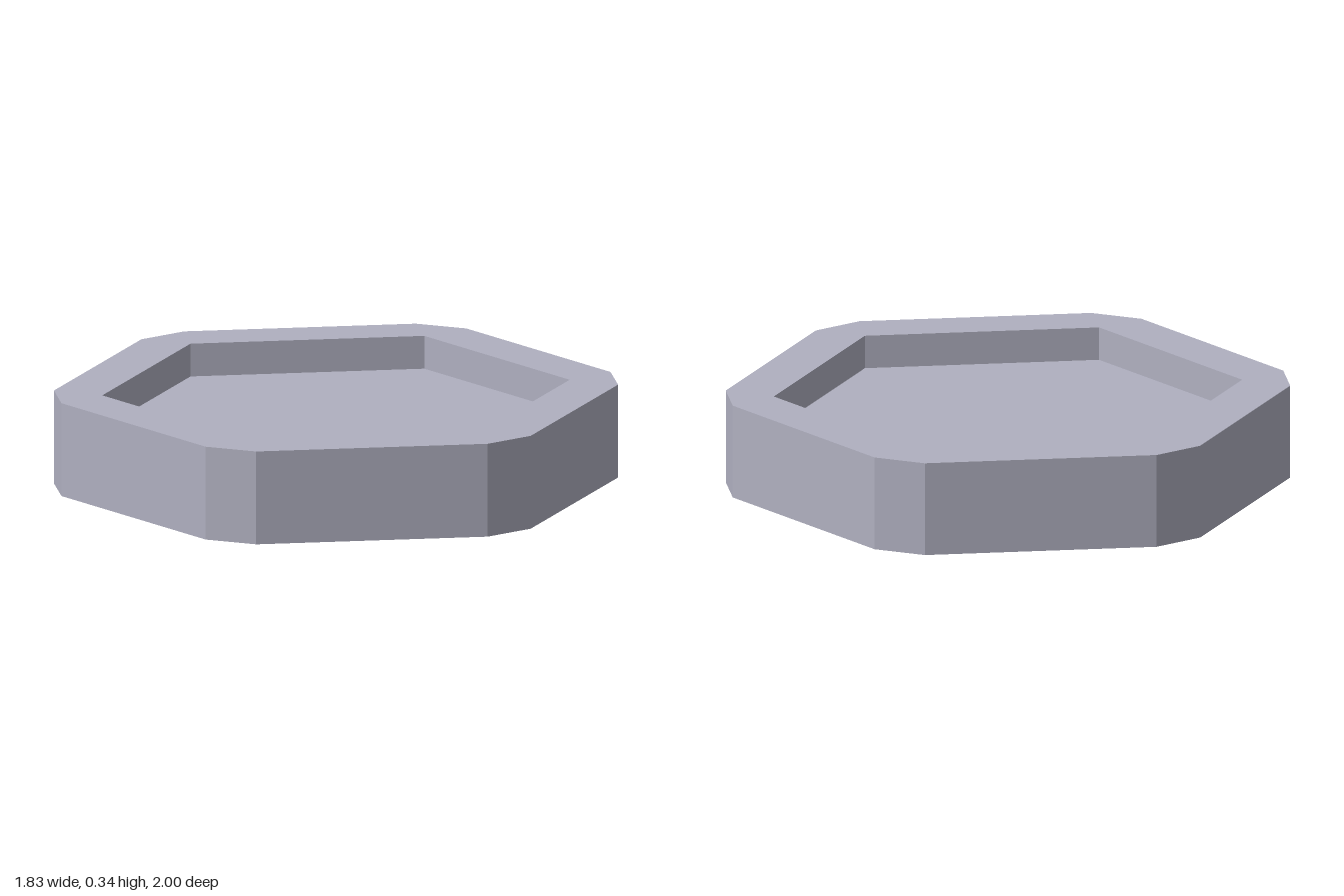
import * as THREE from 'three';

const HEIGHT = 0.34;
const FLOOR_Y = 0.22;

// Six corners, one every 60 degrees, starting on the z axis
function hexPoints(radius) {
  return Array.from({ length: 6 }, (_, i) => {
    const a = (i * Math.PI) / 3;
    return new THREE.Vector2(Math.sin(a) * radius, Math.cos(a) * radius);
  });
}

// Hexagon with each corner cut off: two points per corner
function cutHexPoints(reach, halfCut) {
  const points = [];
  for (let i = 0; i < 6; i++) {
    const a = (i * Math.PI) / 3;
    for (const side of [-halfCut, halfCut]) {
      points.push(new THREE.Vector2(
        Math.sin(a) * reach + Math.cos(a) * side,
        Math.cos(a) * reach - Math.sin(a) * side
      ));
    }
  }
  return points;
}

export function createModel() {
  const model = new THREE.Group();
  model.name = 'hexTray';

  const paleGrey = new THREE.MeshStandardMaterial({ color: 0xb0b0c0, side: THREE.DoubleSide });
  paleGrey.name = 'paleGrey';

  // Thick rim with a hexagonal opening
  const rimShape = new THREE.Shape(cutHexPoints(1, 0.097));
  rimShape.holes.push(new THREE.Path(hexPoints(0.84)));
  const rimGeometry = new THREE.ExtrudeGeometry(rimShape, { depth: HEIGHT, bevelEnabled: false });
  rimGeometry.rotateX(-Math.PI / 2);
  const rim = new THREE.Mesh(rimGeometry, paleGrey);
  rim.name = 'rim';
  model.add(rim);

  // Thin floor plate, hollow above and below
  const floorGeometry = new THREE.ShapeGeometry(new THREE.Shape(hexPoints(0.84)));
  floorGeometry.rotateX(-Math.PI / 2);
  const floor = new THREE.Mesh(floorGeometry, paleGrey);
  floor.name = 'floor';
  floor.position.y = FLOOR_Y;
  model.add(floor);

  return model;
}
